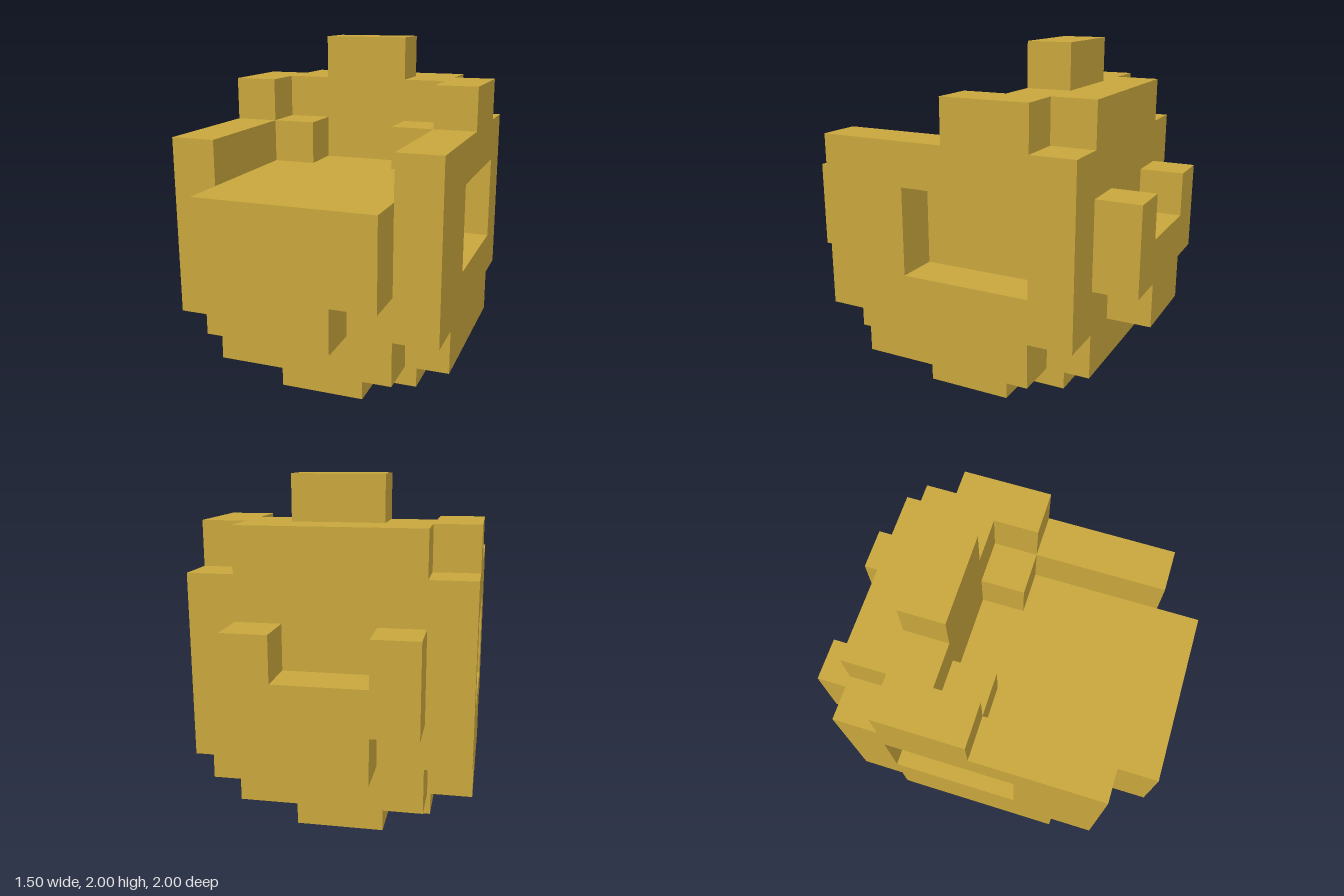
import * as THREE from 'three';

export function createModel() {
  const model = new THREE.Group();
  model.name = 'blockHead';

  const gold = new THREE.MeshStandardMaterial({ color: 0xc8a63c });
  gold.name = 'gold';

  const add = (name, geometry) => {
    const mesh = new THREE.Mesh(geometry, gold);
    mesh.name = name;
    model.add(mesh);
    return mesh;
  };

  // Box given by its lower and upper limits on each axis
  const block = (name, [x0, x1], [y0, y1], [z0, z1]) =>
    add(name, new THREE.BoxGeometry(x1 - x0, y1 - y0, z1 - z0)
      .translate((x0 + x1) / 2, (y0 + y1) / 2, (z0 + z1) / 2));

  const outline = (points) => points.map(([a, b]) => new THREE.Vector2(a, b));

  // Plate one block (0.25) thick, cut from an outline
  const plate = (points, hole) => {
    const shape = new THREE.Shape(outline(points));
    if (hole) shape.holes.push(new THREE.Path(outline(hole)));
    return new THREE.ExtrudeGeometry(shape, { depth: 0.25, bevelEnabled: false });
  };

  // Solid core, raised back of the head and crest
  block('core', [-0.5, 0.5], [0.25, 1.25], [-0.75, 0.75]);
  block('headBack', [-0.5, 0.5], [1.25, 1.75], [-0.75, -0.25]);
  block('crest', [-0.25, 0.25], [1.75, 2], [-0.5, -0.25]);

  // Side panels (outline in z, y), each with a rectangular recess
  const sideOutline = [
    [-0.5, 0.25], [0.5, 0.25], [0.5, 0.5], [0.75, 0.5], [0.75, 1.5], [0, 1.5],
    [0, 1.75], [-0.5, 1.75], [-0.5, 1.5], [-0.75, 1.5], [-0.75, 0.5], [-0.5, 0.5],
  ];
  const recess = [[-0.5, 0.75], [-0.5, 1.25], [0.25, 1.25], [0.25, 0.75]];
  for (const [side, edge] of [['left', 0.75], ['right', -0.5]]) {
    add(side + 'SidePanel',
      plate(sideOutline, recess).rotateY(-Math.PI / 2).translate(edge, 0, 0));
    // Small step in the inner corner of the open top
    const x = side === 'left' ? 0.25 : -0.5;
    block(side + 'InnerStep', [x, x + 0.25], [1.25, 1.5], [-0.25, 0]);
  }

  // Front snout: wide above, narrow chin below
  add('snout', plate([
    [-0.25, 0.5], [0.25, 0.5], [0.25, 0.75], [0.5, 0.75],
    [0.5, 1.25], [-0.5, 1.25], [-0.5, 0.75], [-0.25, 0.75],
  ]).translate(0, 0, 0.75));

  // U-shaped relief on the back
  add('backRelief', plate([
    [-0.25, 0.5], [0.25, 0.5], [0.25, 0.75], [0.5, 0.75], [0.5, 1.25], [0.25, 1.25],
    [0.25, 1], [-0.25, 1], [-0.25, 1.25], [-0.5, 1.25], [-0.5, 0.75], [-0.25, 0.75],
  ]).translate(0, 0, -1));

  // Cross-shaped base
  add('base', plate([
    [-0.25, -0.5], [0.25, -0.5], [0.25, -0.25], [0.5, -0.25], [0.5, 0.25], [0.25, 0.25],
    [0.25, 0.5], [-0.25, 0.5], [-0.25, 0.25], [-0.5, 0.25], [-0.5, -0.25], [-0.25, -0.25],
  ]).rotateX(-Math.PI / 2));

  return model;
}
